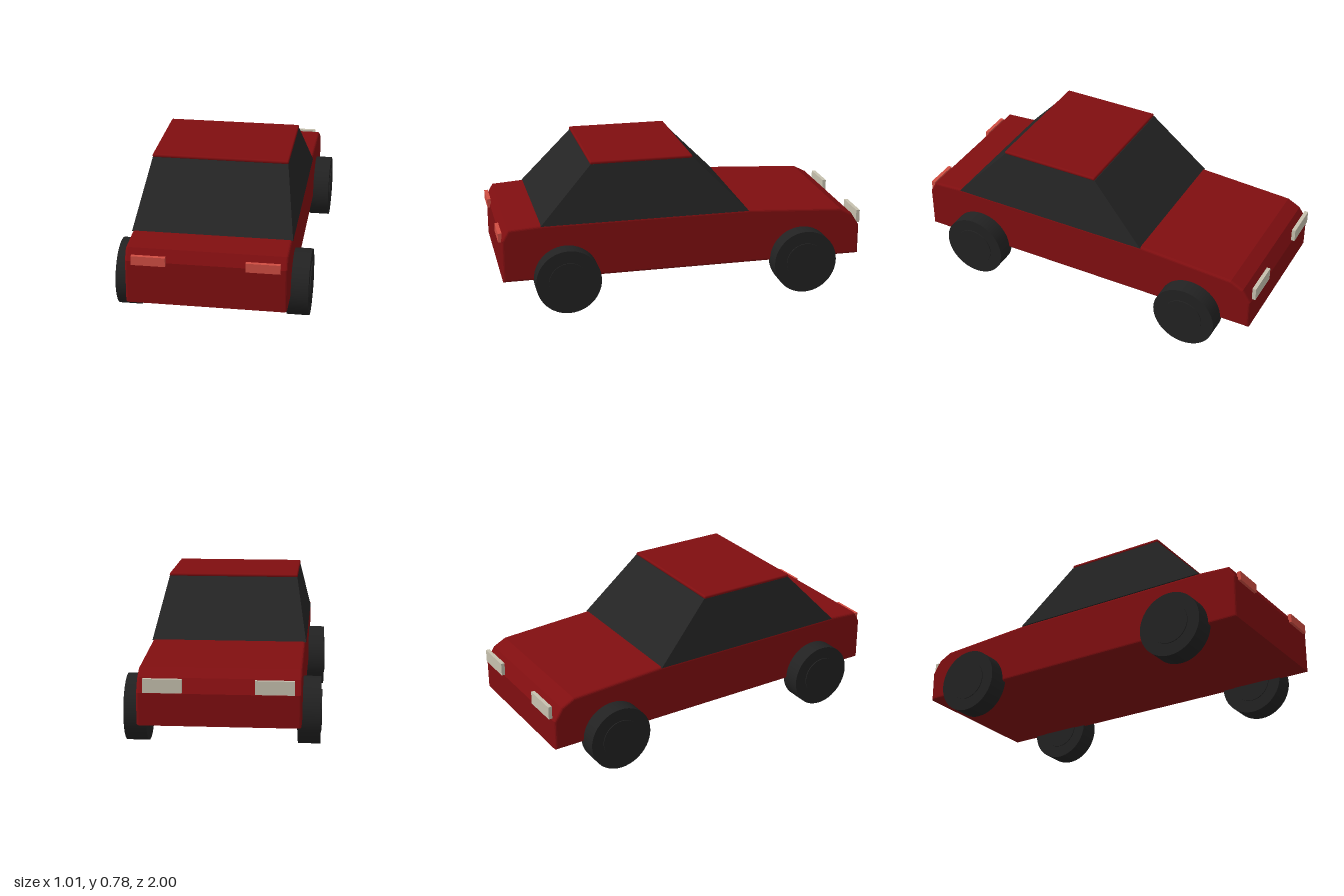
import * as THREE from 'three';
import { RoundedBoxGeometry } from 'three/addons/geometries/RoundedBoxGeometry.js';

const material = (name, color) => {
  const m = new THREE.MeshStandardMaterial({ color });
  m.name = name;
  return m;
};

export function createModel() {
  const car = new THREE.Group();
  car.name = 'car';
  const paint = material('dark red paint', 0x800e10);
  const glass = material('dark glass', 0x242424);
  const rubber = material('black rubber', 0x222222);
  const tailRed = material('tail light red', 0xcf4d42);
  const lampCream = material('headlight cream', 0xc6c0ae);

  const add = (name, geometry, mat, x = 0, y = 0, z = 0, parent = car) => {
    const mesh = new THREE.Mesh(geometry, mat);
    mesh.name = name;
    mesh.position.set(x, y, z);
    parent.add(mesh);
    return mesh;
  };

  // Body: side profile (z, y) extruded across the width with a small bevel
  const profile = [
    [0.985, 0.165], [0.985, 0.395], [0.95, 0.455], [0.78, 0.466], [-0.35, 0.466],
    [-0.87, 0.436], [-0.94, 0.4], [-0.985, 0.33], [-0.985, 0.165],
  ].map(([z, y]) => new THREE.Vector2(z, y));
  const bevel = 0.012, width = 0.82;
  const bodyGeo = new THREE.ExtrudeGeometry(new THREE.Shape(profile), {
    depth: width - 2 * bevel,
    bevelSize: bevel,
    bevelThickness: bevel,
    bevelOffset: -bevel,
    bevelSegments: 3,
  });
  bodyGeo.translate(0, 0, -(width / 2 - bevel));
  bodyGeo.rotateY(-Math.PI / 2);
  add('body', bodyGeo, paint);

  // Cabin: box tapered towards the roof
  const cabinGeo = new THREE.BoxGeometry(1, 1, 1);
  const p = cabinGeo.attributes.position;
  for (let i = 0; i < p.count; i++) {
    const top = p.getY(i) > 0;
    const rear = p.getZ(i) > 0;
    p.setXYZ(
      i,
      Math.sign(p.getX(i)) * (top ? 0.355 : 0.414),
      top ? 0.766 : 0.463,
      rear ? (top ? 0.5 : 0.78) : (top ? -0.05 : -0.35),
    );
  }
  cabinGeo.computeVertexNormals();
  add('cabinGlass', cabinGeo, glass);

  // Roof panel
  add('roof', new RoundedBoxGeometry(0.714, 0.018, 0.552, 3, 0.008), paint, 0, 0.773, 0.228);

  // Wheels: tyre with a hub standing slightly proud on both sides
  const tyreGeo = new THREE.CylinderGeometry(0.174, 0.174, 0.115, 48).rotateZ(Math.PI / 2);
  const hubGeo = new THREE.CylinderGeometry(0.107, 0.107, 0.125, 40).rotateZ(Math.PI / 2);
  const tailGeo = new THREE.BoxGeometry(0.173, 0.048, 0.02);
  const headGeo = new THREE.BoxGeometry(0.195, 0.07, 0.02);

  for (const side of [1, -1]) {
    const label = side > 0 ? 'left' : 'right';
    for (const z of [0.65, -0.65]) {
      const wheel = new THREE.Group();
      wheel.name = label + (z > 0 ? 'FrontWheel' : 'BackWheel');
      wheel.position.set(side * 0.443, 0.174, z);
      add('tyre', tyreGeo, rubber, 0, 0, 0, wheel);
      add('hub', hubGeo, rubber, 0, 0, 0, wheel);
      car.add(wheel);
    }
    // Lights
    add(label + 'TailLight', tailGeo, tailRed, side * 0.288, 0.405, 0.99);
    add(label + 'Headlight', headGeo, lampCream, side * 0.278, 0.37, -0.99);
  }
  return car;
}
